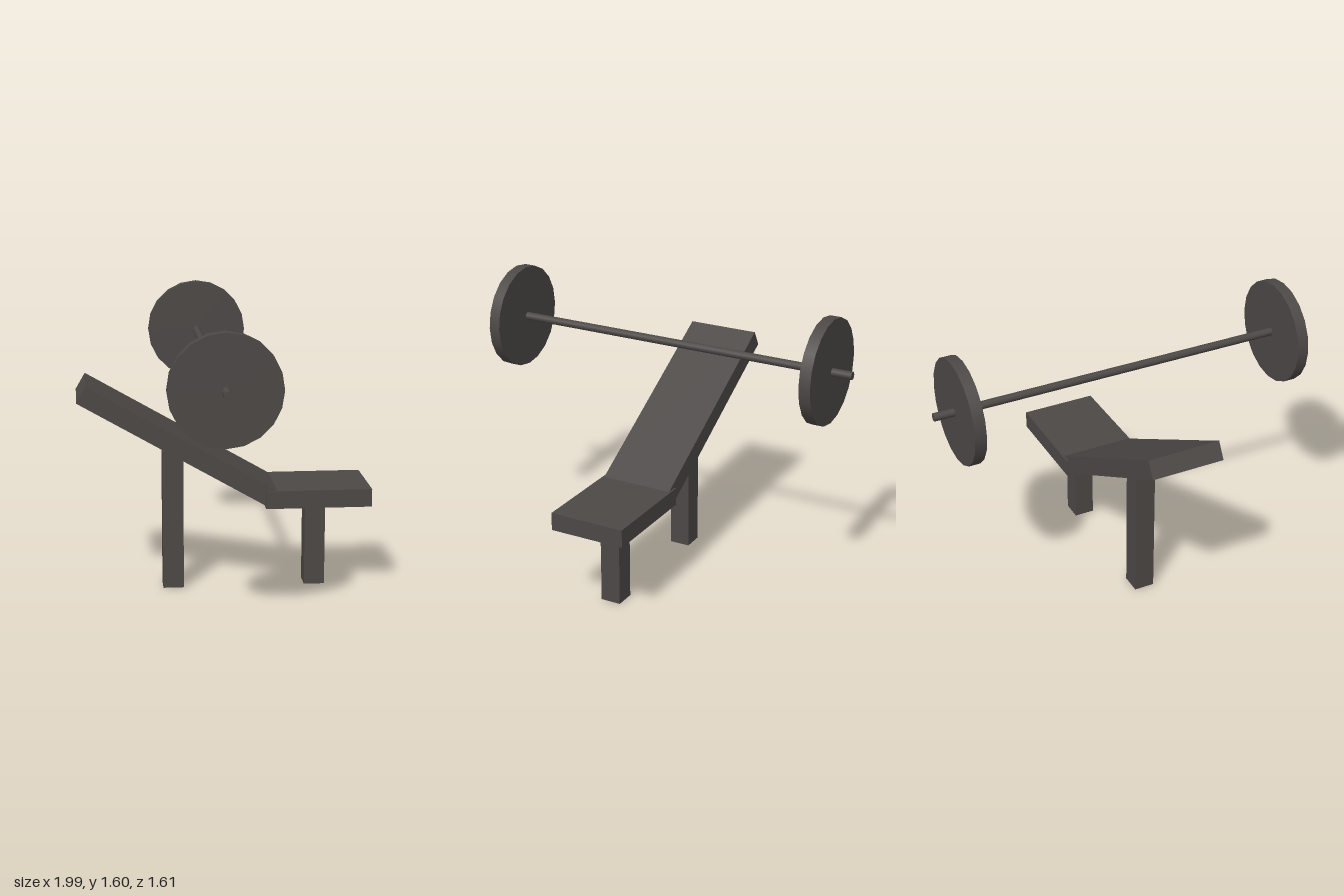
import * as THREE from 'three';

export function createModel() {
  const root = new THREE.Group();
  root.name = 'weightBench';

  const darkGrey = new THREE.MeshStandardMaterial({ color: 0x4c4846 });
  darkGrey.name = 'darkGrey';

  // Everything is built along a straight bench axis, then turned 30 degrees
  const bench = new THREE.Group();
  bench.name = 'bench';
  bench.position.set(0.03 * Math.cos(Math.PI / 6), 0, 0.03 * Math.sin(Math.PI / 6));
  bench.rotation.y = -Math.PI / 6;
  root.add(bench);

  const add = (name, geometry, x, y, z) => {
    const mesh = new THREE.Mesh(geometry, darkGrey);
    mesh.name = name;
    mesh.position.set(x, y, z);
    bench.add(mesh);
    return mesh;
  };

  // Pads: flat seat and backrest sloping up toward the front
  add('seat', new THREE.BoxGeometry(0.43, 0.1, 0.587), 0, 0.54, -0.534);
  const backrest = add('backrest', new THREE.BoxGeometry(0.41, 0.103, 1.226), 0, 0.838, 0.232);
  backrest.rotation.x = -Math.PI / 6;

  // Square legs
  const leg = (name, height, z) =>
    add(name, new THREE.BoxGeometry(0.115, height, 0.115), 0, height / 2, z);
  leg('backrestLeg', 0.79, 0.262);
  leg('seatLeg', 0.495, -0.535);

  // Barbell across the bench
  const barY = 1.31, barZ = 0.055;
  const rod = (radius, length, sides) =>
    new THREE.CylinderGeometry(radius, radius, length, sides).rotateZ(Math.PI / 2);
  add('bar', rod(0.022, 2.19, 12), 0, barY, barZ);
  for (const side of [-1, 1]) {
    add(side > 0 ? 'leftPlate' : 'rightPlate', rod(0.29, 0.064, 20), side * 0.95, barY, barZ);
  }

  return root;
}
